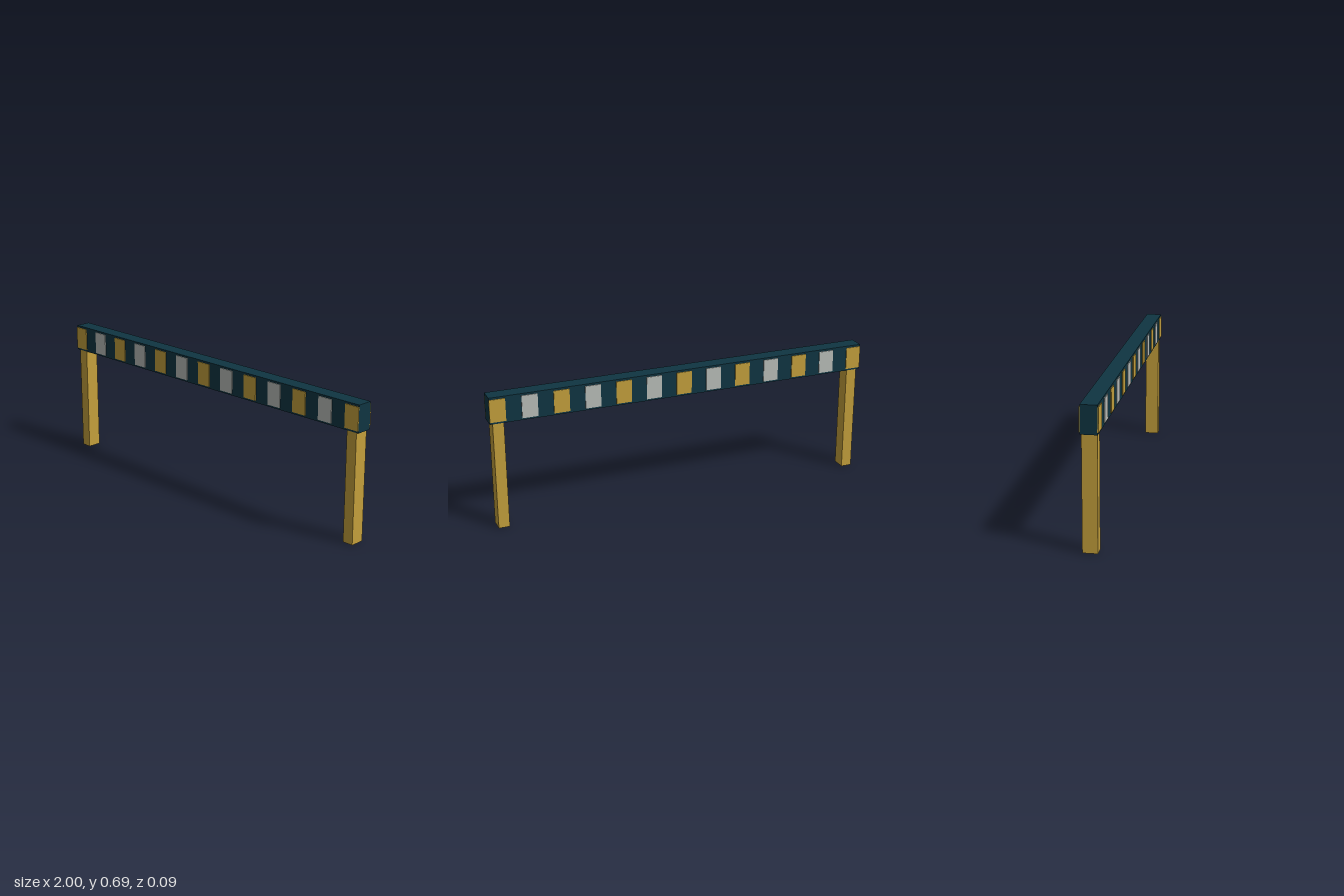
import * as THREE from 'three';

export function createModel() {
  const model = new THREE.Group();
  model.name = 'stripedBarrier';

  const makeMaterial = (name, color) => {
    const material = new THREE.MeshStandardMaterial({ color });
    material.name = name;
    return material;
  };
  const gold = makeMaterial('gold', 0xc4a03c);
  const teal = makeMaterial('darkTeal', 0x0f3542);
  const silver = makeMaterial('silver', 0xb9bdb9);

  const addBox = (name, material, size, position) => {
    const mesh = new THREE.Mesh(new THREE.BoxGeometry(...size), material);
    mesh.name = name;
    mesh.position.set(...position);
    model.add(mesh);
  };

  // Crossbar
  addBox('crossbar', teal, [2, 0.136, 0.08], [0, 0.625, 0]);

  // Square posts under both ends
  for (const side of [-1, 1]) {
    addBox(side > 0 ? 'leftPost' : 'rightPost', gold, [0.056, 0.558, 0.072], [side * 0.958, 0.279, 0]);
  }

  // Alternating raised panels on the front and back of the crossbar
  for (let i = 0; i < 13; i++) {
    const material = i % 2 ? silver : gold;
    for (const side of [-1, 1]) {
      const name = (side > 0 ? 'frontPanel' : 'backPanel') + (i + 1);
      addBox(name, material, [0.08, 0.116, 0.006], [-0.96 + i * 0.16, 0.625, side * 0.041]);
    }
  }

  return model;
}
